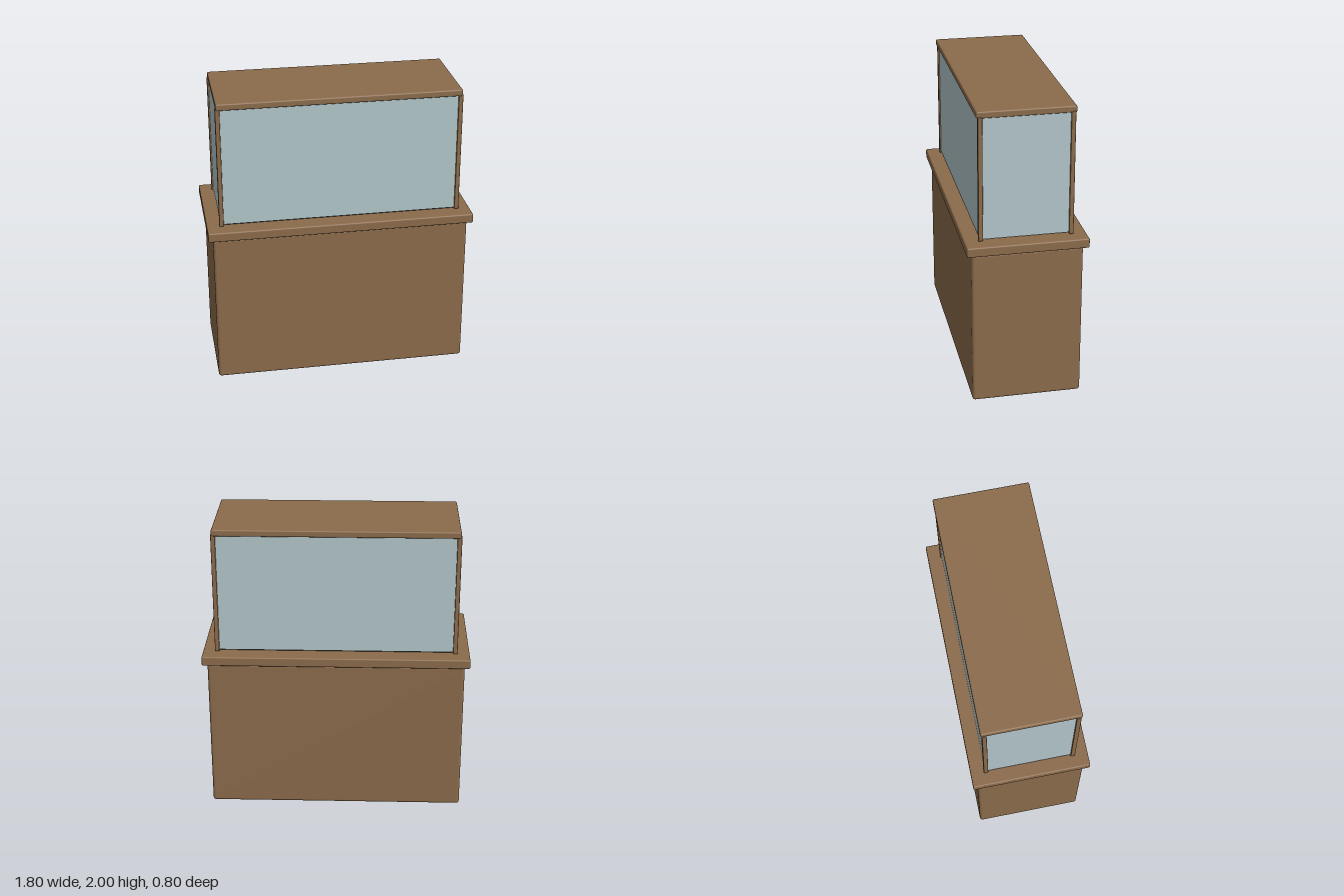
import * as THREE from 'three';
import { RoundedBoxGeometry } from 'three/addons/geometries/RoundedBoxGeometry.js';

export function createModel() {
  const model = new THREE.Group();
  model.name = 'displayCabinet';

  const material = (name, color) => {
    const m = new THREE.MeshStandardMaterial({ color });
    m.name = name;
    return m;
  };
  const wood = material('wood', 0x8b6b4b);
  const glass = material('glass', 0xb2c6ca);
  const darkWood = material('darkWood', 0x4a3028);

  // Box from y0 to y1; a radius above zero rounds its edges
  const addBox = (name, mat, w, y0, y1, d, radius = 0, x = 0, z = 0) => {
    const h = y1 - y0;
    const geometry = radius > 0
      ? new RoundedBoxGeometry(w, h, d, 3, radius)
      : new THREE.BoxGeometry(w, h, d);
    const mesh = new THREE.Mesh(geometry, mat);
    mesh.name = name;
    mesh.position.set(x, (y0 + y1) / 2, z);
    model.add(mesh);
  };

  // Pedestal and its overhanging top
  addBox('pedestal', wood, 1.73, 0, 1.065, 0.73, 0.02);
  addBox('pedestalTop', wood, 1.796, 1.065, 1.13, 0.796, 0.01);

  // Dark floor of the showcase
  addBox('showcaseFloor', darkWood, 1.57, 1.136, 1.15, 0.58, 0.006);

  // Corner posts
  for (const x of [-0.8, 0.8]) {
    for (const z of [-0.295, 0.295]) {
      addBox('cornerPost', wood, 0.03, 1.136, 1.965, 0.03, 0.004, x, z);
    }
  }

  // Glass panes, set between the posts
  for (const side of [-1, 1]) {
    addBox('longPane', glass, 1.575, 1.145, 1.96, 0.008, 0, 0, side * 0.295);
    addBox('endPane', glass, 0.008, 1.145, 1.96, 0.565, 0, side * 0.8, 0);
  }

  // Lid
  addBox('lid', wood, 1.62, 1.955, 2.0, 0.636, 0.01);

  return model;
}
